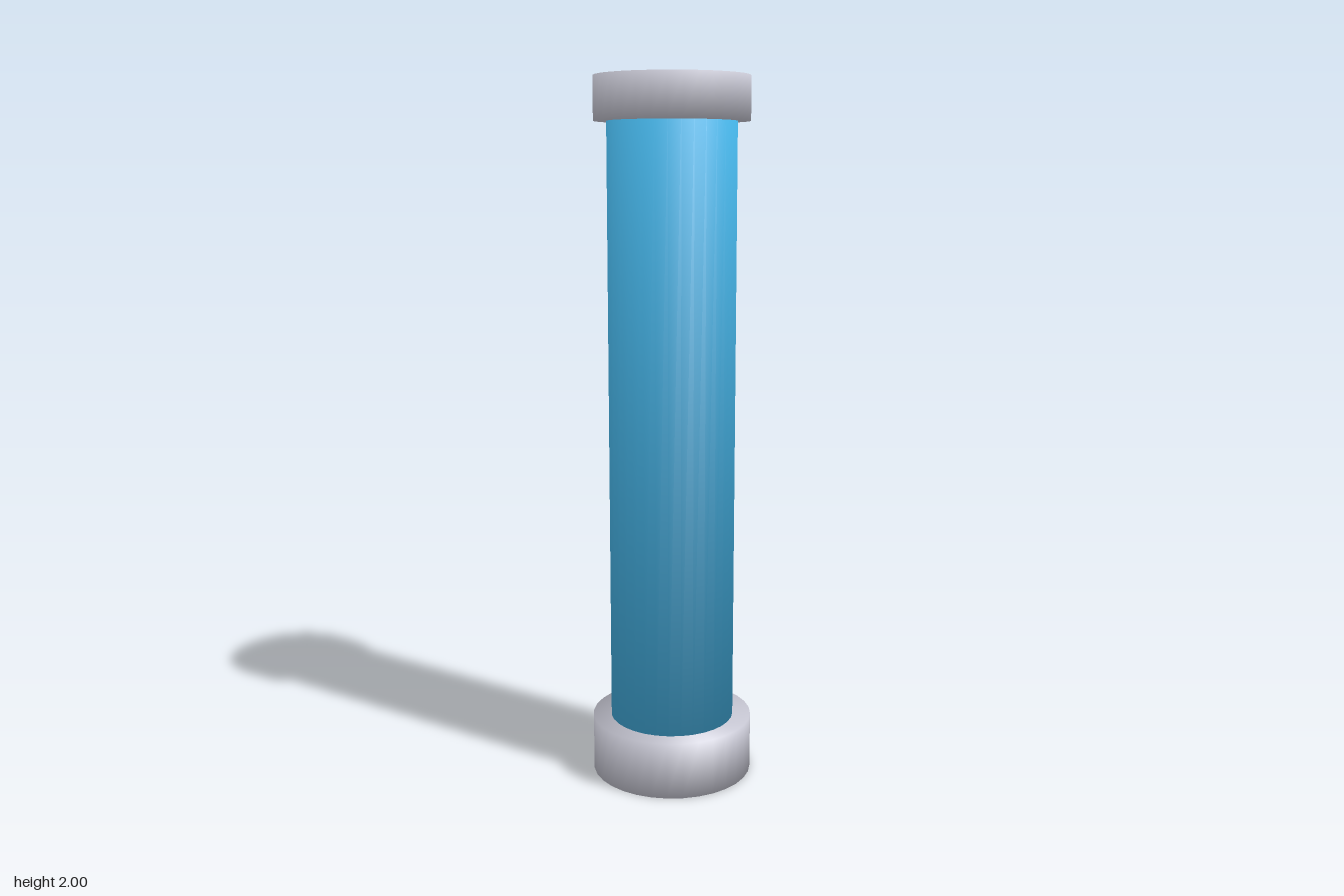
import * as THREE from 'three';

const SIDES = 32;

// Closed cylinder between two heights, shaded softly across its rims
function softCylinder(name, radius, bottom, top, material) {
  const height = top - bottom;
  const geometry = new THREE.CylinderGeometry(radius, radius, height, SIDES);
  const { position, normal } = geometry.attributes;
  for (let i = 0; i < position.count; i++) {
    // rim normals lean 45 degrees; cap centres keep the same vertical part
    normal.setXYZ(
      i,
      (position.getX(i) / radius) * Math.SQRT1_2,
      Math.sign(position.getY(i)) * Math.SQRT1_2,
      (position.getZ(i) / radius) * Math.SQRT1_2
    );
  }
  const mesh = new THREE.Mesh(geometry, material);
  mesh.name = name;
  mesh.position.y = bottom + height / 2;
  return mesh;
}

export function createModel() {
  const blue = new THREE.MeshStandardMaterial({ color: 0x43afe1 });
  blue.name = 'blue';
  const grey = new THREE.MeshStandardMaterial({ color: 0xc4c4d0 });
  grey.name = 'light grey';

  const model = new THREE.Group();
  model.name = 'cappedTube';
  model.add(
    softCylinder('base', 0.233, 0, 0.165, grey),
    softCylinder('tube', 0.18, 0.08, 1.94, blue),
    softCylinder('topCap', 0.216, 1.88, 2, grey)
  );
  return model;
}
